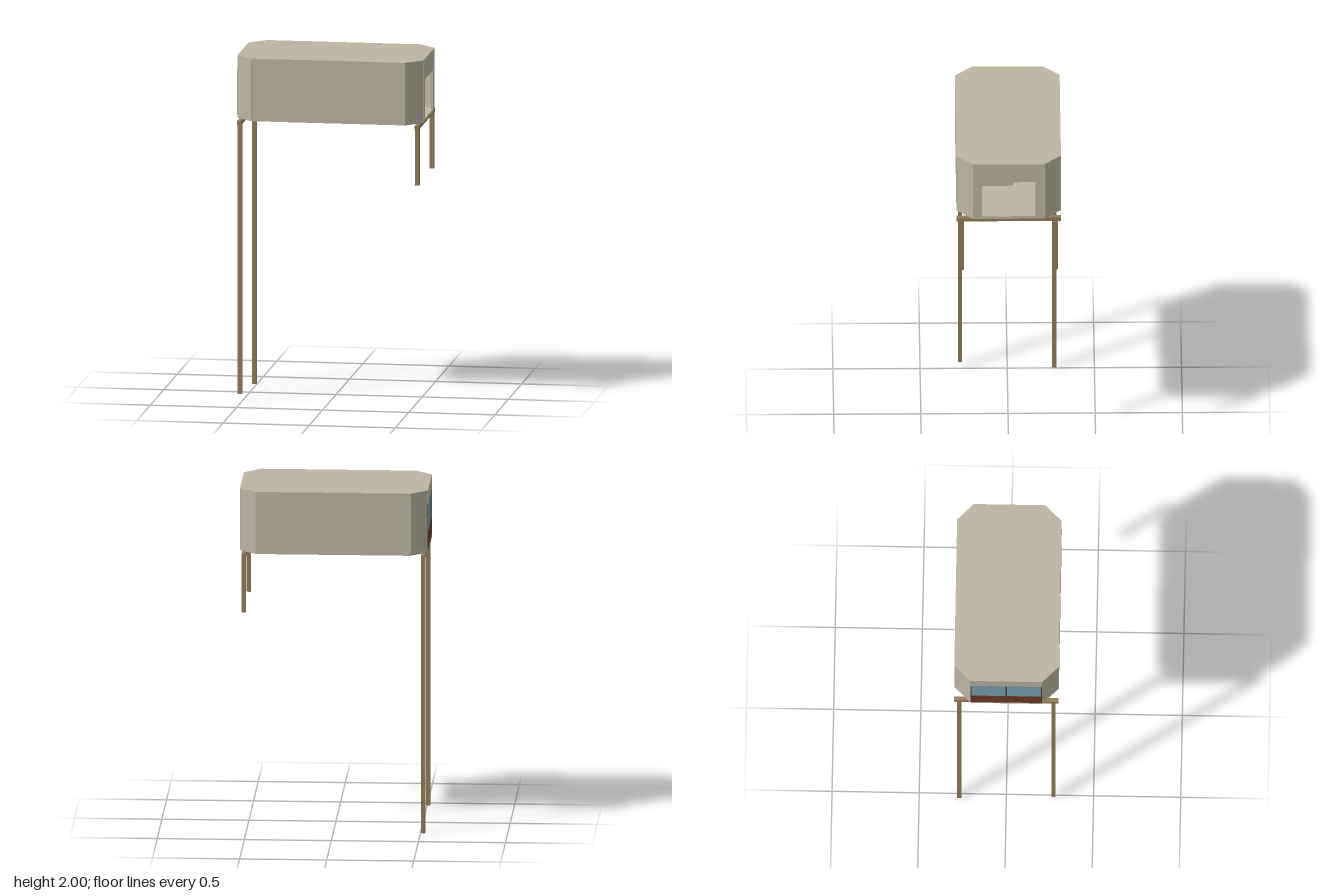
import * as THREE from 'three';

const mat = (name, color) => {
  const m = new THREE.MeshStandardMaterial({ color, side: THREE.DoubleSide });
  m.name = name;
  return m;
};

export function createModel() {
  const root = new THREE.Group();
  root.name = 'stiltCabin';
  const wall = mat('warm grey panel', 0xbdb5a2);
  const wood = mat('timber', 0x937c58);
  const glass = mat('blue glass', 0x7aa3b0);
  const brown = mat('red brown panel', 0x6e3b27);
  const dark = mat('dark frame', 0x4a4038);

  const add = (name, geo, material, x = 0, y = 0, z = 0, ry = 0) => {
    const mesh = new THREE.Mesh(geo, material);
    mesh.name = name;
    mesh.position.set(x, y, z);
    mesh.rotation.y = ry;
    root.add(mesh);
    return mesh;
  };
  // Box given by its limits on each axis
  const box = (name, material, [x0, x1], [y0, y1], [z0, z1]) =>
    add(name, new THREE.BoxGeometry(x1 - x0, y1 - y0, z1 - z0), material,
      (x0 + x1) / 2, (y0 + y1) / 2, (z0 + z1) / 2);

  const X = 0.54, Z = 0.3, cx = 0.445, cz = 0.205;
  const floorY = 1.635, top = 2, t = 0.015;

  // Floor and roof slabs with cut corners
  const plan = new THREE.Shape([
    [cx, -Z], [X, -cz], [X, cz], [cx, Z], [-cx, Z], [-X, cz], [-X, -cz], [-cx, -Z],
  ].map(([x, y]) => new THREE.Vector2(x, y)));
  const slab = new THREE.ExtrudeGeometry(plan, { depth: t, bevelEnabled: false });
  slab.rotateX(-Math.PI / 2);
  add('floor', slab, wall, 0, floorY, 0);
  add('roof', slab, wall, 0, top - t, 0);

  // Long walls and corner walls
  const y0 = floorY + t, y1 = top - t, h = y1 - y0, mid = (y0 + y1) / 2;
  for (const s of [1, -1]) {
    add('longWall', new THREE.BoxGeometry(2 * cx, h, t), wall, 0, mid, s * (Z - t / 2));
    for (const e of [1, -1]) {
      const len = Math.hypot(X - cx, Z - cz) - 0.006;
      const k = t / 2 / Math.SQRT2 + 0.001;
      add('cornerWall', new THREE.BoxGeometry(len, h, t), wall,
        e * ((X + cx) / 2 - k), mid, s * ((Z + cz) / 2 - k), e * s * Math.PI / 4);
    }
  }

  // Entrance end with a wide opening
  const end = new THREE.Shape();
  end.moveTo(-cz, y0).lineTo(cz, y0).lineTo(cz, y1).lineTo(-cz, y1).closePath();
  const hole = new THREE.Path();
  hole.moveTo(-0.154, y0 + 0.002).lineTo(-0.154, 1.88).lineTo(0.154, 1.88).lineTo(0.154, y0 + 0.002).closePath();
  end.holes.push(hole);
  const endGeo = new THREE.ExtrudeGeometry(end, { depth: t, bevelEnabled: false });
  add('entranceWall', endGeo, wall, X - t, 0, 0, Math.PI / 2);

  // Glazed end: header, two panes and solid lower panels
  box('windowHeader', wall, [-X, -X + t], [1.92, y1], [-cz, cz]);
  for (const s of [1, -1]) {
    const span = s > 0 ? [0.004, 0.2] : [-0.2, -0.004];
    box('windowPane', glass, [-X + 0.001, -X + 0.008], [1.755, 1.92], span);
    box('lowerPanel', brown, [-X, -X + 0.009], [y0, 1.755], span);
    box('windowPost', dark, [-X, -X + t], [y0, 1.92], s > 0 ? [0.2, cz] : [-cz, -0.2]);
  }
  box('windowMullion', dark, [-X - 0.002, -X + 0.01], [y0, 1.92], [-0.004, 0.004]);

  // Inner room beside the passage
  box('innerRoom', wall, [-0.05, 0.2], [y0, 1.865], [-0.03, 0.284]);

  // Round arch and low bench in the passage
  const arch = new THREE.Shape();
  arch.absarc(0, 0, 0.1, 0, Math.PI * 2);
  const archHole = new THREE.Path();
  archHole.absarc(0, 0, 0.068, 0, Math.PI * 2, true);
  arch.holes.push(archHole);
  const archGeo = new THREE.ExtrudeGeometry(arch, { depth: 0.04, bevelEnabled: false, curveSegments: 16 });
  add('roundArch', archGeo, wall, -0.3, 1.755, -0.14, Math.PI / 2);
  box('bench', brown, [-0.42, -0.3], [y0, 1.715], [-0.25, -0.06]);
  box('benchTop', dark, [-0.42, -0.3], [1.715, 1.722], [-0.25, -0.06]);

  // Cross beams and stilts of different lengths
  for (const [x, frontFoot, backFoot] of [[-0.515, 0.04, 0], [0.515, 1.285, 1.285]]) {
    const across = [x - 0.012, x + 0.012];
    box('crossBeam', wood, across, [1.611, floorY], [-0.3, 0.3]);
    box('frontStilt', wood, across, [frontFoot, 1.611], [0.258, 0.282]);
    box('backStilt', wood, across, [backFoot, 1.611], [-0.282, -0.258]);
  }
  return root;
}
